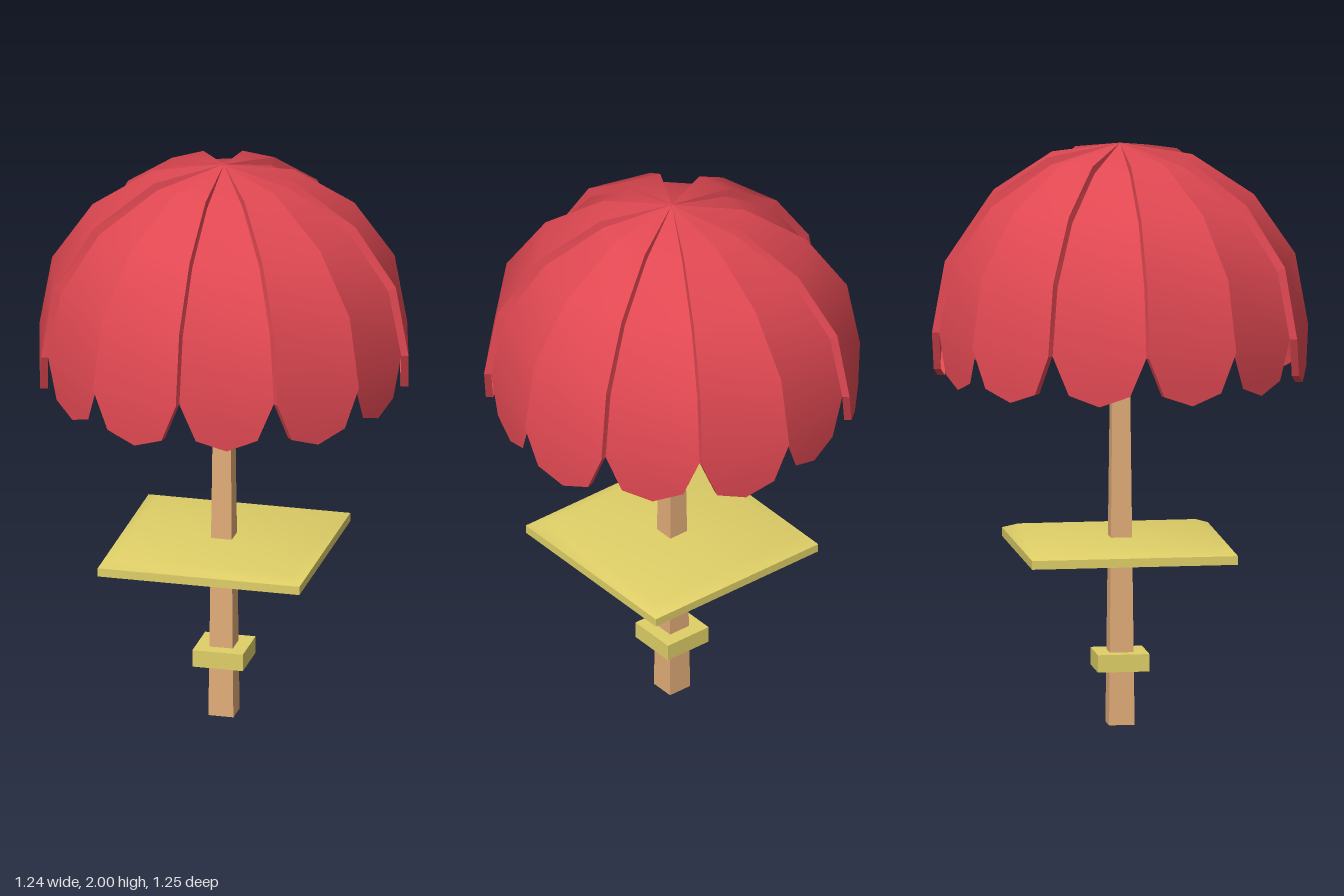
import * as THREE from 'three';
import { toCreasedNormals } from 'three/addons/utils/BufferGeometryUtils.js';

// Canopy cross-sections from apex to scallop tip: [distance from axis, height, half width]
const INNER = [[0, 2, 0], [0.228, 1.93, 0.062], [0.425, 1.79, 0.114], [0.557, 1.59, 0.15],
  [0.6, 1.36, 0.161], [0.6, 1.225, 0.105], [0.6, 1.187, 0]];
const OUTER = [[0, 2, 0], [0.24, 1.955, 0.062], [0.445, 1.812, 0.114], [0.582, 1.605, 0.15],
  [0.625, 1.36, 0.161], [0.625, 1.225, 0.105], [0.625, 1.187, 0]];

// Point on one side (-1 or 1) of a cross-section
const corner = ([r, y, w], side) => [side * w, y, r];

function buildGeometry(points, index) {
  const g = new THREE.BufferGeometry();
  g.setAttribute('position', new THREE.Float32BufferAttribute(points.flat(), 3));
  g.setIndex(index);
  return g;
}

// Curved cloth panel facing +z, smooth from top to bottom
function panelGeometry(rows) {
  const index = [];
  for (let i = 0; i < rows.length - 1; i++) {
    const a = 2 * i;
    if (rows[i + 1][2] > 0) index.push(a, a + 2, a + 3);
    if (rows[i][2] > 0) index.push(a, a + 3, a + 1);
  }
  const g = buildGeometry(rows.flatMap((r) => [corner(r, -1), corner(r, 1)]), index);
  g.computeVertexNormals();
  return g;
}

// Narrow wall joining the edges of a raised panel to the lower cloth
function hemGeometry(low, high) {
  const points = [], index = [];
  for (const side of [-1, 1]) {
    const base = points.length;
    low.forEach((r, i) => points.push(corner(r, side), corner(high[i], side)));
    for (let i = 0; i < low.length - 1; i++) {
      const [a, b, c, d] = [0, 1, 2, 3].map((k) => base + 2 * i + k);
      if (side < 0) index.push(a, c, d, a, d, b);
      else index.push(a, d, c, a, b, d);
    }
  }
  const g = buildGeometry(points, index).toNonIndexed();
  g.computeVertexNormals();
  return g;
}

export function createModel() {
  const model = new THREE.Group();
  model.name = 'parasolTable';
  const cloth = new THREE.MeshStandardMaterial({ color: 0xe04852, side: THREE.DoubleSide });
  cloth.name = 'red cloth';
  const wood = new THREE.MeshStandardMaterial({ color: 0xe2ad78 });
  wood.name = 'brown wood';
  const board = new THREE.MeshStandardMaterial({ color: 0xe0d068 });
  board.name = 'yellow board';

  const add = (parent, name, geometry, material) => {
    const mesh = new THREE.Mesh(geometry, material);
    mesh.name = name;
    parent.add(mesh);
    return mesh;
  };
  // Four-sided turned part with its corners on the axes
  const turned = (name, profile, material) => {
    const lathe = new THREE.LatheGeometry(profile.map(([x, y]) => new THREE.Vector2(x, y)), 4);
    add(model, name, toCreasedNormals(lathe, 0.6), material);
  };

  turned('post', [[0, 0], [0.062, 0], [0.03, 1.96], [0, 1.96]], wood);
  turned('collar', [[0, 0.19], [0.125, 0.19], [0.125, 0.25], [0, 0.25]], board);
  turned('tableTop', [[0, 0.595], [0.5, 0.595], [0.5, 0.625], [0.43, 0.645], [0, 0.645]], board);

  // Canopy of twelve panels, every second one raised
  const canopy = new THREE.Group();
  canopy.name = 'canopy';
  model.add(canopy);
  const lowPanel = panelGeometry(INNER);
  const highPanel = panelGeometry(OUTER);
  const hem = hemGeometry(INNER, OUTER);
  for (let i = 0; i < 12; i++) {
    const raised = i % 2 === 0;
    const angle = (i * Math.PI) / 6;
    add(canopy, raised ? 'raisedPanel' : 'lowPanel', raised ? highPanel : lowPanel, cloth).rotation.y = angle;
    if (raised) add(canopy, 'panelHem', hem, cloth).rotation.y = angle;
  }
  return model;
}
